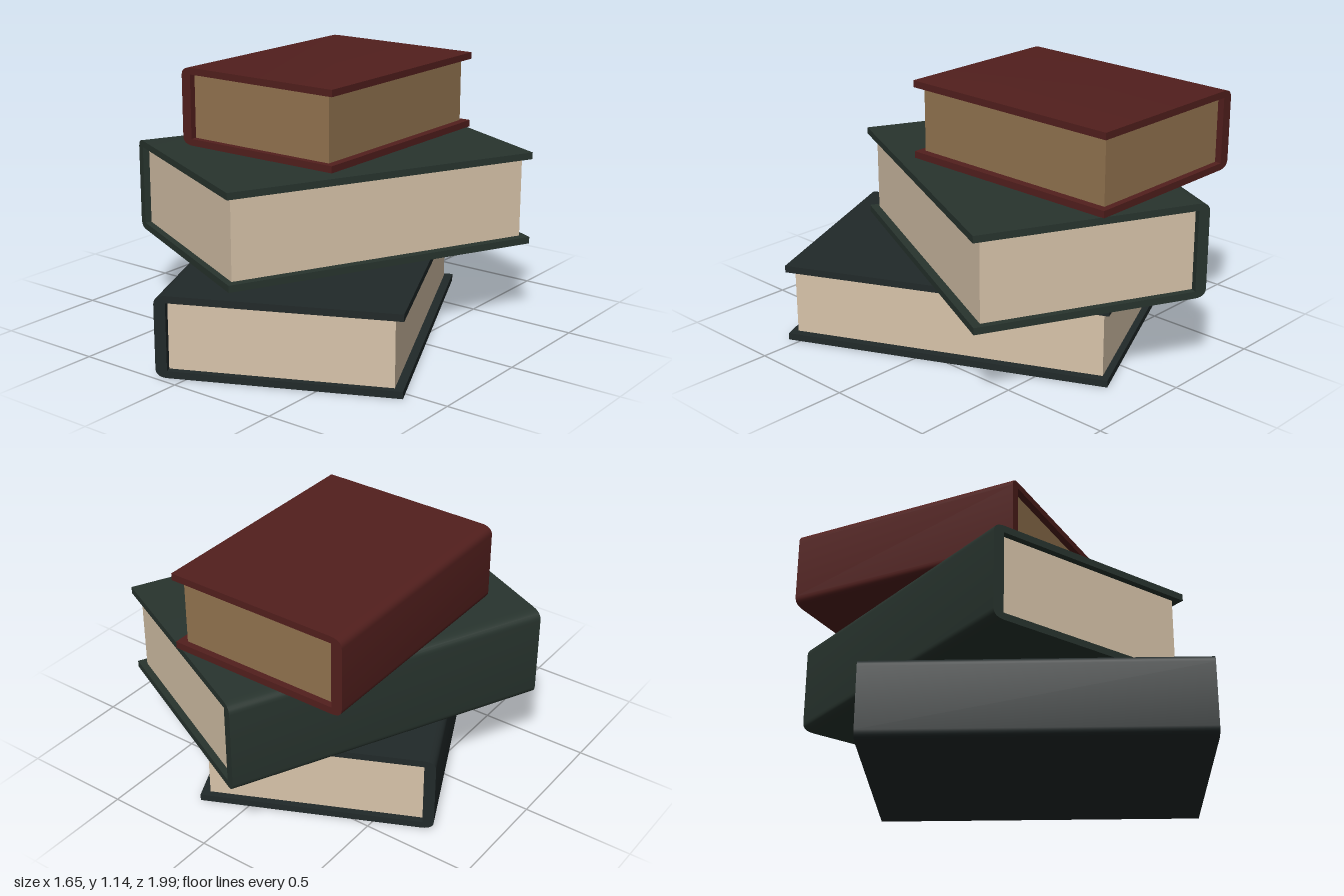
import * as THREE from 'three';
import { toCreasedNormals } from 'three/addons/utils/BufferGeometryUtils.js';

// Wrap-around cover: C-shaped section with a rounded spine on -x, extruded along z
function coverGeometry(w, h, d, board, spine, r) {
  const x0 = -w / 2, x1 = w / 2;
  const s = new THREE.Shape();
  s.moveTo(x1, 0);
  s.lineTo(x1, board);
  s.lineTo(x0 + spine, board);
  s.lineTo(x0 + spine, h - board);
  s.lineTo(x1, h - board);
  s.lineTo(x1, h);
  s.lineTo(x0 + r, h);
  s.quadraticCurveTo(x0, h, x0, h - r * 0.7);
  s.lineTo(x0, r * 0.7);
  s.quadraticCurveTo(x0, 0, x0 + r, 0);
  s.closePath();
  const g = new THREE.ExtrudeGeometry(s, { depth: d, bevelEnabled: false, curveSegments: 6 });
  g.translate(0, 0, -d / 2);
  return toCreasedNormals(g, 0.6);
}

function makeBook({ name, w, h, d, x, y, z, turn, cover, paper }) {
  const board = 0.031, spine = 0.05, inset = 0.03, foreEdge = 0.038;
  const book = new THREE.Group();
  book.name = name;

  const coverMesh = new THREE.Mesh(
    coverGeometry(w, h, d, board, spine, 0.055),
    new THREE.MeshStandardMaterial({ color: cover })
  );
  coverMesh.name = name + 'Cover';

  // Page block, set back from the three open edges of the cover
  const pageW = w - spine - foreEdge;
  const pages = new THREE.Mesh(
    new THREE.BoxGeometry(pageW, h - 2 * board, d - 2 * inset),
    new THREE.MeshStandardMaterial({ color: paper })
  );
  pages.name = name + 'Pages';
  pages.position.set(-w / 2 + spine + pageW / 2, h / 2, 0);

  book.add(coverMesh, pages);
  book.position.set(x, y, z);
  book.rotation.y = turn;
  return book;
}

export function createModel() {
  const stack = new THREE.Group();
  stack.name = 'bookStack';
  const books = [
    { name: 'bottomBook', w: 1.037, h: 0.36, d: 1.476, x: 0.04, y: 0, z: 0.1, turn: 0.436, cover: 0x212929, paper: 0xd8c4aa },
    { name: 'middleBook', w: 1.037, h: 0.425, d: 1.476, x: -0.035, y: 0.36, z: -0.11, turn: -0.452, cover: 0x28342e, paper: 0xd8c4aa },
    { name: 'topBook', w: 0.845, h: 0.358, d: 1.09, x: -0.157, y: 0.787, z: -0.256, turn: 0, cover: 0x521f1d, paper: 0x92734f },
  ];
  for (const b of books) stack.add(makeBook(b));
  return stack;
}
